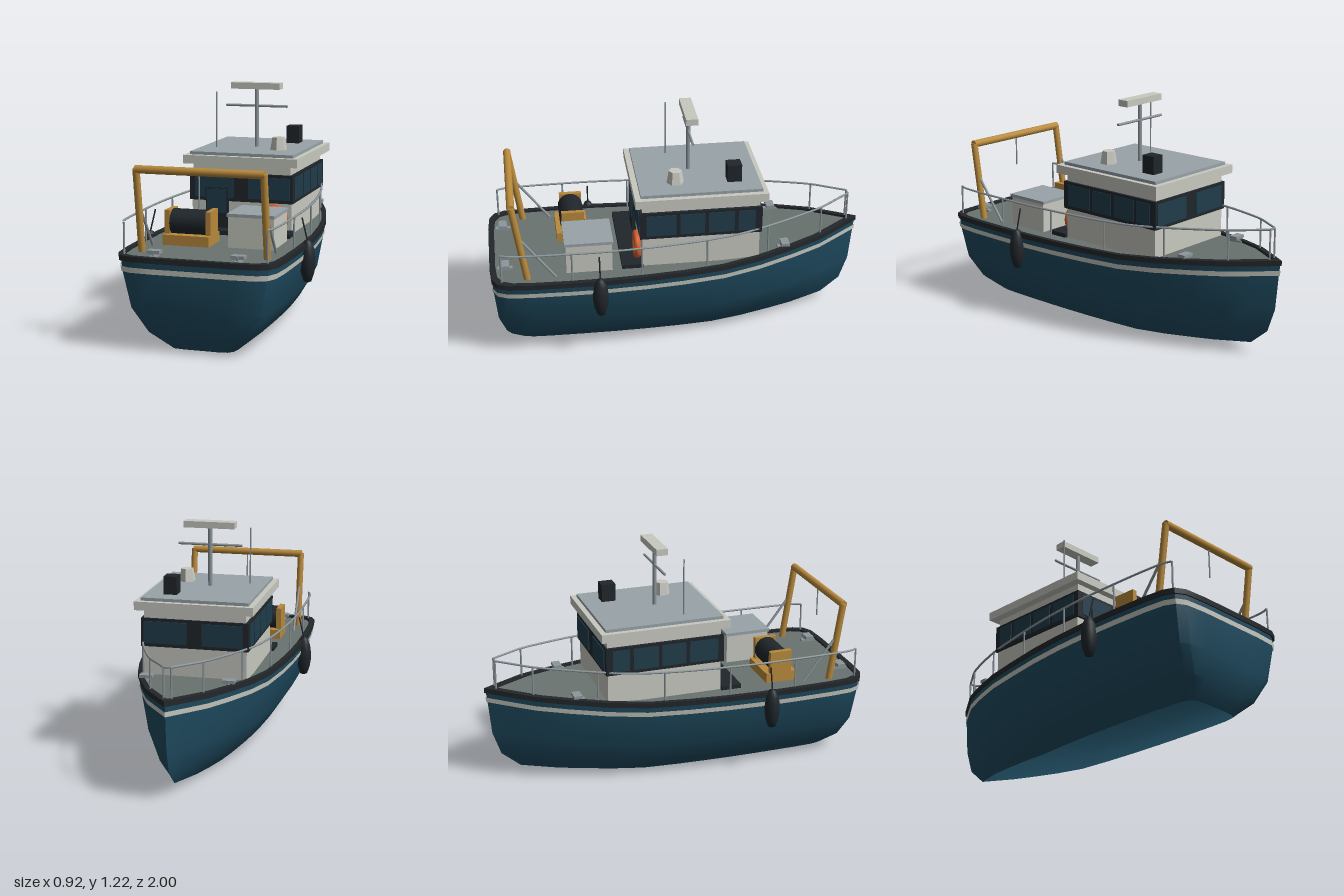
import * as THREE from 'three';
import { toCreasedNormals } from 'three/addons/utils/BufferGeometryUtils.js';

const mat = (color, side = THREE.FrontSide) => new THREE.MeshStandardMaterial({ color, side });
const V = (x, y, z) => new THREE.Vector3(x, y, z);

// Half plan of the hull from bow (-z) to stern (+z): [x, z]
const PLAN = [[0, -1], [0.075, -0.89], [0.155, -0.77], [0.225, -0.61], [0.295, -0.42], [0.345, -0.22],
  [0.38, 0], [0.4, 0.2], [0.41, 0.4], [0.41, 0.6], [0.405, 0.8], [0.395, 0.91], [0.37, 0.965],
  [0.32, 0.992], [0.2, 1], [0, 1]];
const sheer = z => 0.05 * THREE.MathUtils.clamp((-z - 0.25) / 0.75, 0, 1);

function halfWidth(z) {
  const i = Math.max(1, PLAN.findIndex(p => p[1] >= z));
  const [a, b] = [PLAN[i - 1], PLAN[i]];
  return a[0] + (b[0] - a[0]) * (z - a[1]) / (b[1] - a[1]);
}

// One side of the plan at height y, scaled in width and towards bow and stern
const sideLine = (s, y, w, bow, stern) =>
  PLAN.map(([x, z]) => V(s * x * w, y + sheer(z), z * (z < 0 ? bow : stern)));
const ring = (...a) => [...sideLine(1, ...a), ...sideLine(-1, ...a).reverse().slice(1)];

// Skin stretched over a series of equal-length point lines
function loft(lines, crease) {
  const n = lines[0].length, index = [];
  for (let k = 0; k < lines.length - 1; k++) {
    for (let i = 0; i < n - 1; i++) {
      const a = k * n + i, c = a + n;
      index.push(a, c, a + 1, a + 1, c, c + 1);
    }
  }
  const g = new THREE.BufferGeometry().setFromPoints(lines.flat());
  g.setIndex(index);
  return toCreasedNormals(g, crease);
}

export function createModel() {
  const boat = new THREE.Group();
  const M = {
    hull: mat(0x1f4b60, THREE.DoubleSide), deck: mat(0x69736f, THREE.DoubleSide),
    trim: mat(0xc8cac1, THREE.DoubleSide), rub: mat(0x23272a, THREE.DoubleSide),
    white: mat(0xc8cac1), black: mat(0x20262b), glass: mat(0x203c4b), roof: mat(0x98a3a8),
    yellow: mat(0xb98a3c), steel: mat(0x8d979c), orange: mat(0xd0602f),
  };
  const add = (name, geo, m, x = 0, y = 0, z = 0, parent = boat) => {
    const mesh = new THREE.Mesh(geo, m);
    mesh.name = name;
    mesh.position.set(x, y, z);
    parent.add(mesh);
    return mesh;
  };
  // Box given by its extents on each axis
  const box = (name, m, [x0, x1], [y0, y1], [z0, z1]) =>
    add(name, new THREE.BoxGeometry(x1 - x0, y1 - y0, z1 - z0), m, (x0 + x1) / 2, (y0 + y1) / 2, (z0 + z1) / 2);
  // Round bar between two points
  const rod = (name, m, a, b, r, sides = 10) => {
    const mesh = add(name, new THREE.CylinderGeometry(r, r, a.distanceTo(b), sides), m);
    mesh.position.copy(a).lerp(b, 0.5);
    mesh.quaternion.setFromUnitVectors(V(0, 1, 0), b.clone().sub(a).normalize());
    return mesh;
  };

  // Hull shell (open underneath), stripe, rubbing strake and deck
  add('hull', loft([
    ring(0, 0.43, 0.825, 0.87), ring(0.085, 0.68, 0.925, 0.94), ring(0.21, 0.88, 0.968, 0.977),
    ring(0.395, 0.98, 0.985, 0.993), ring(0.465, 1, 0.993, 0.993)], 0.6), M.hull);
  add('hullStripe', loft([ring(0.392, 0.99, 0.991, 0.997), ring(0.418, 1, 0.994, 0.998)], 0.6), M.trim);
  add('rubbingStrake', loft([
    ring(0.445, 0.99, 0.99, 0.99), ring(0.445, 1.015, 1, 1), ring(0.472, 1.015, 1, 1),
    ring(0.472, 0.95, 0.95, 0.97), ring(0.445, 0.95, 0.95, 0.97)], 0.6), M.rub);
  add('deck', loft([sideLine(1, 0.46, 0.97, 0.97, 0.98), sideLine(-1, 0.46, 0.97, 0.97, 0.98)], 0.3), M.deck);

  // Wheelhouse
  box('houseBase', M.white, [-0.27, 0.27], [0.455, 0.625], [-0.41, 0.205]);
  box('windowBand', M.black, [-0.28, 0.28], [0.622, 0.77], [-0.42, 0.218]);
  box('houseTop', M.white, [-0.265, 0.265], [0.77, 0.817], [-0.41, 0.205]);
  box('roof', M.white, [-0.308, 0.308], [0.815, 0.86], [-0.448, 0.243]);
  box('roofPanel', M.roof, [-0.28, 0.28], [0.86, 0.876], [-0.42, 0.213]);
  box('aftStep', M.black, [-0.29, 0.29], [0.455, 0.482], [0.205, 0.315]);
  for (const s of [-1, 1]) {
    for (const z of [-0.422, 0.22]) {
      box('endWindow', M.glass, s > 0 ? [0.04, 0.265] : [-0.25, -0.04], [0.64, 0.755], [z - 0.003, z + 0.003]);
    }
    for (const [z0, z1] of [[0.03, 0.185], [-0.12, 0.01], [-0.275, -0.14], [-0.385, -0.295]]) {
      box('sideWindow', M.glass, [s * 0.281 - 0.003, s * 0.281 + 0.003], [0.64, 0.755], [z0, z1]);
    }
  }
  box('doorFrame', M.black, [-0.19, -0.068], [0.46, 0.692], [0.2, 0.226]);
  box('doorWindow', M.glass, [-0.183, -0.075], [0.56, 0.686], [0.224, 0.23]);
  add('lifeRing', new THREE.TorusGeometry(0.058, 0.018, 10, 28), M.orange, 0.185, 0.545, 0.228);

  // Roof equipment
  rod('mast', M.steel, V(0, 0.87, -0.07), V(0, 1.19, -0.07), 0.011);
  rod('mastCrossbar', M.steel, V(-0.17, 1.096, -0.07), V(0.17, 1.096, -0.07), 0.007);
  box('radarBar', M.white, [-0.135, 0.135], [1.186, 1.22], [-0.102, -0.04]);
  rod('antenna', M.steel, V(-0.195, 0.87, 0.025), V(-0.195, 1.175, 0.025), 0.004, 6);
  add('roofDome', new THREE.CylinderGeometry(0.034, 0.046, 0.07, 6).toNonIndexed(), M.white, 0.147, 0.908, 0.018)
    .geometry.computeVertexNormals();
  box('exhaustBox', M.black, [0.115, 0.185], [0.87, 0.97], [-0.325, -0.25]);

  // Stern gantry with braces and a hanging line
  rod('gantryBeam', M.yellow, V(-0.325, 0.875, 0.872), V(0.325, 0.875, 0.872), 0.02, 14);
  rod('gantryLine', M.steel, V(0, 0.87, 0.872), V(0, 0.7, 0.872), 0.004, 6);
  for (const s of [-1, 1]) {
    rod('gantryLeg', M.yellow, V(s * 0.32, 0.455, 0.808), V(s * 0.32, 0.878, 0.872), 0.018, 14);
    rod('gantryBrace', M.steel, V(s * 0.32, 0.71, 0.85), V(s * 0.32, 0.46, 0.66), 0.007, 8);
  }

  // Winch
  box('winchBase', M.yellow, [-0.278, -0.036], [0.458, 0.512], [0.465, 0.635]);
  box('winchPlate', M.yellow, [-0.278, -0.25], [0.5, 0.632], [0.485, 0.605]);
  box('winchPlate', M.yellow, [-0.062, -0.036], [0.5, 0.632], [0.485, 0.605]);
  rod('winchDrum', M.black, V(-0.25, 0.567, 0.548), V(-0.062, 0.567, 0.548), 0.066, 20);

  // Deck locker
  box('locker', M.white, [0.056, 0.292], [0.455, 0.618], [0.365, 0.605]);
  box('lockerLid', M.roof, [0.05, 0.298], [0.616, 0.632], [0.358, 0.612]);

  // Railings
  const posts = [-0.94, -0.77, -0.46, -0.125, 0.22, 0.58, 0.94];
  const railPoint = (s, z, y) => V(s * Math.max(0.015, halfWidth(z) - 0.022), y + sheer(z), z);
  for (const s of [-1, 1]) {
    const pts = [-0.94, -0.86, -0.77, -0.61, -0.46, -0.3, -0.125, 0.05, 0.22, 0.4, 0.58, 0.78, 0.9, 0.94]
      .map(z => railPoint(s, z, 0.628));
    add('handrail', new THREE.TubeGeometry(new THREE.CatmullRomCurve3(pts), 64, 0.006, 6), M.steel);
    for (const z of posts) rod('railPost', M.steel, railPoint(s, z, 0.455), railPoint(s, z, 0.628), 0.005, 6);
  }
  rod('bowRail', M.steel, railPoint(-1, -0.94, 0.628), railPoint(1, -0.94, 0.628), 0.006, 6);

  // Fenders hung on ropes
  const fender = [[0, 0.27], [0.02, 0.278], [0.034, 0.32], [0.04, 0.36], [0.04, 0.4], [0.034, 0.445],
    [0.018, 0.483], [0, 0.49]].map(p => new THREE.Vector2(...p));
  for (const s of [-1, 1]) {
    add('fender', new THREE.LatheGeometry(fender, 12), M.black, s * 0.42, 0, 0.44);
    rod('fenderRope', M.black, V(s * 0.42, 0.48, 0.44), V(s * 0.39, 0.6, 0.44), 0.004, 6);
  }

  // Mooring cleats
  for (const s of [-1, 1]) {
    for (const z of [0.92, -0.56]) {
      const y = 0.46 + sheer(z), x = s * 0.212;
      box('cleatBase', M.steel, [x - 0.012, x + 0.012], [y - 0.005, y + 0.012], [z - 0.04, z + 0.04]);
      for (const d of [-0.016, 0.016]) rod('cleatPost', M.steel, V(x, y, z + d), V(x, y + 0.032, z + d), 0.008, 8);
      box('cleatBar', M.steel, [x - 0.033, x + 0.033], [y + 0.02, y + 0.036], [z - 0.022, z + 0.022]);
    }
  }
  return boat;
}
